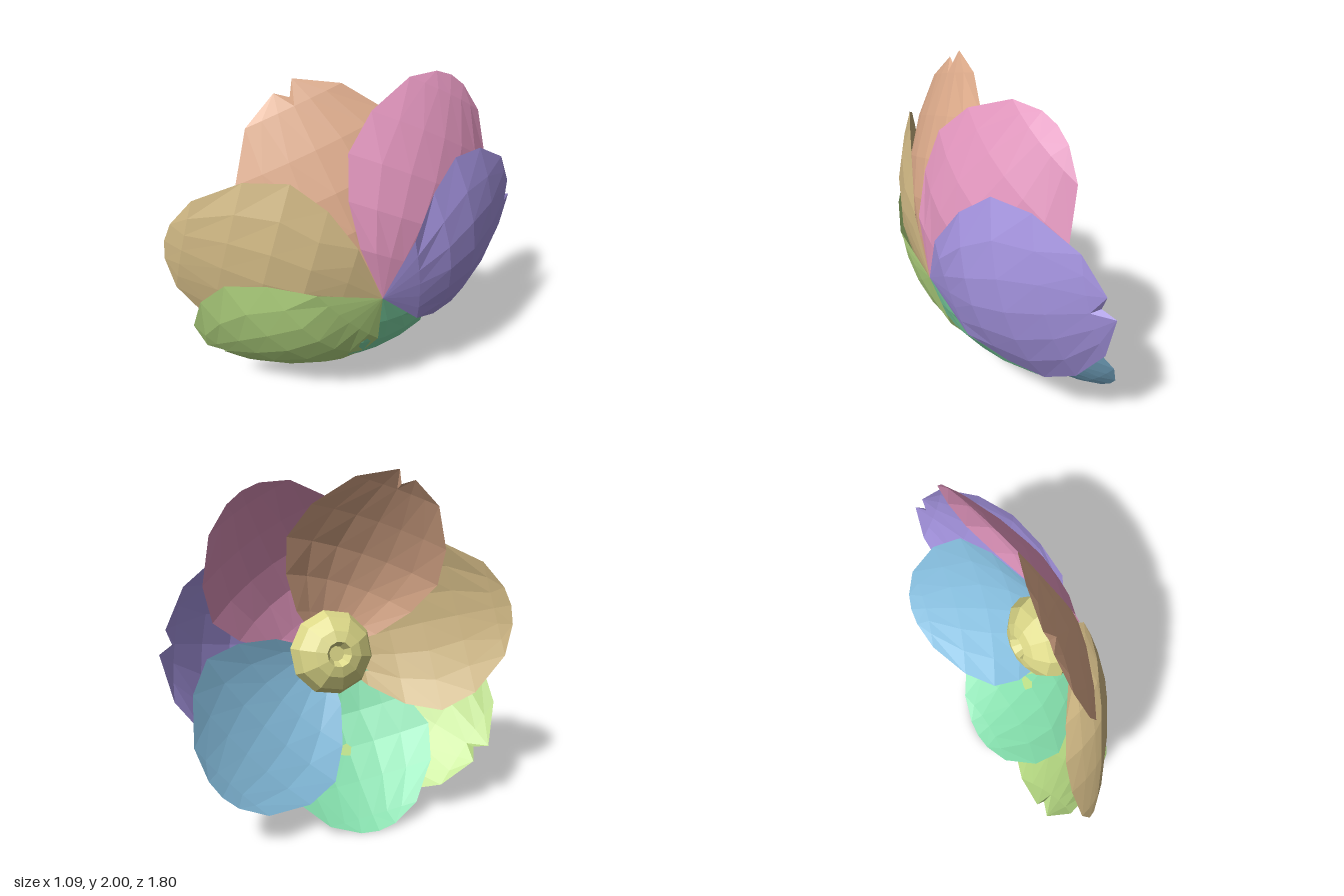
import * as THREE from 'three';

// The flower opens along AXIS from the point where all petals meet.
const BASE = new THREE.Vector3(0.37, 0.9, 0.2);
const AXIS = new THREE.Vector3(-0.88, 0.2, -0.43).normalize();
const UP = new THREE.Vector3(0, 1, 0).addScaledVector(AXIS, -AXIS.y).normalize();
const SIDE = new THREE.Vector3().crossVectors(AXIS, UP);

// Petal cross-sections: distance along, half width, outward bulge, share of edge flare
const SECTIONS = [
  [0.2, 0.31, 0.085, 1], [0.39, 0.48, 0.145, 0.4], [0.59, 0.57, 0.15, 0],
  [0.8, 0.5, 0.11, 0], [1.01, 0.305, 0.045, 0],
];
const COLUMNS = 6;

// Layers keep overlapping petals apart: bulge factor and edge flare
const LAYERS = {
  inner: { bulge: 0.68, flare: -0.02 },
  middle: { bulge: 0.86, flare: 0.03 },
  outer: { bulge: 1, flare: 0.06 },
};

function petalGeometry({ angle, length, width, lift, layer, notched }) {
  const turn = THREE.MathUtils.degToRad(angle);
  const radial = UP.clone().multiplyScalar(Math.cos(turn)).addScaledVector(SIDE, Math.sin(turn));
  const across = UP.clone().multiplyScalar(-Math.sin(turn)).addScaledVector(SIDE, Math.cos(turn));
  const spread = Math.sqrt(1 - lift * lift);
  const along = radial.clone().multiplyScalar(spread).addScaledVector(AXIS, lift);
  const outward = radial.clone().multiplyScalar(lift).addScaledVector(AXIS, -spread);

  const positions = [...BASE.toArray()];
  const index = [];
  const addPoint = (s, w, h) => {
    const p = BASE.clone().addScaledVector(along, s * length)
      .addScaledVector(across, w * width).addScaledVector(outward, h);
    positions.push(p.x, p.y, p.z);
  };
  for (const [s, w, bulge, flareShare] of SECTIONS) {
    const edge = LAYERS[layer].flare * flareShare;
    const rib = bulge * LAYERS[layer].bulge;
    for (let c = 0; c <= COLUMNS; c++) {
      const v = (c / COLUMNS) * 2 - 1;
      addPoint(s, v * w, edge + (rib - edge) * (1 - v * v));
    }
  }
  // Tip: two uneven lobes with a small notch, or one blunt edge
  const tip = notched
    ? [[1.095, -0.075], [1.05, 0], [1.12, 0.055]]
    : [[1.09, -0.12], [1.105, 0], [1.09, 0.12]];
  for (const [s, w] of tip) addPoint(s, w, 0);

  for (let c = 0; c < COLUMNS; c++) index.push(0, 1 + c, 2 + c);
  for (let row = 0; row < SECTIONS.length - 1; row++) {
    for (let c = 0; c < COLUMNS; c++) {
      const a = 1 + row * (COLUMNS + 1) + c;
      const b = a + COLUMNS + 1;
      index.push(a, b, a + 1, a + 1, b, b + 1);
    }
  }
  const last = 1 + (SECTIONS.length - 1) * (COLUMNS + 1);
  const [left, mid, right] = [0, 1, 2].map((i) => last + COLUMNS + 1 + i);
  for (let c = 0; c < COLUMNS; c++) index.push(last + c, c < COLUMNS / 2 ? left : right, last + c + 1);
  index.push(last + COLUMNS / 2, left, mid, last + COLUMNS / 2, mid, right);

  const geometry = new THREE.BufferGeometry();
  geometry.setAttribute('position', new THREE.Float32BufferAttribute(positions, 3));
  geometry.setIndex(index);
  geometry.computeVertexNormals();
  return geometry;
}

function flatMaterial(name, color) {
  const material = new THREE.MeshStandardMaterial({ color, flatShading: true, side: THREE.DoubleSide });
  material.name = name;
  return material;
}

export function createModel() {
  const group = new THREE.Group();
  group.name = 'flower';

  const petals = [
    { name: 'orange', color: 0xdcaa8a, angle: -20, length: 1.085, width: 0.84, lift: 0.51, layer: 'inner', notched: true },
    { name: 'pink', color: 0xe094bc, angle: 31, length: 1.1, width: 0.85, lift: 0.49, layer: 'middle', notched: false },
    { name: 'purple', color: 0xa594e0, angle: 81, length: 1.0, width: 1.0, lift: 0.42, layer: 'outer', notched: true },
    { name: 'blue', color: 0x84bcdc, angle: 131, length: 1.05, width: 0.92, lift: 0.49, layer: 'inner', notched: false },
    { name: 'mint', color: 0x82dcaa, angle: 187, length: 1.03, width: 0.88, lift: 0.43, layer: 'middle', notched: false },
    { name: 'lime', color: 0xb8dc84, angle: 231, length: 1.03, width: 0.97, lift: 0.42, layer: 'outer', notched: true },
    { name: 'tan', color: 0xd0b884, angle: 282, length: 1.05, width: 0.94, lift: 0.46, layer: 'middle', notched: false },
  ];
  for (const spec of petals) {
    const petal = new THREE.Mesh(petalGeometry(spec), flatMaterial(spec.name, spec.color));
    petal.name = spec.name + 'Petal';
    group.add(petal);
  }

  // Rounded flower centre with a dimple in its tip
  const profile = [
    [0, 0.07], [0.13, 0.08], [0.22, 0.12], [0.255, 0.18], [0.22, 0.26],
    [0.14, 0.32], [0.075, 0.34], [0.045, 0.28], [0, 0.28],
  ].map(([r, h]) => new THREE.Vector2(r, h));
  const centre = new THREE.Mesh(new THREE.LatheGeometry(profile, 10), flatMaterial('yellow', 0xdcd888));
  centre.name = 'flowerCentre';
  centre.position.copy(BASE);
  centre.quaternion.setFromUnitVectors(new THREE.Vector3(0, 1, 0), AXIS);
  group.add(centre);

  return group;
}
